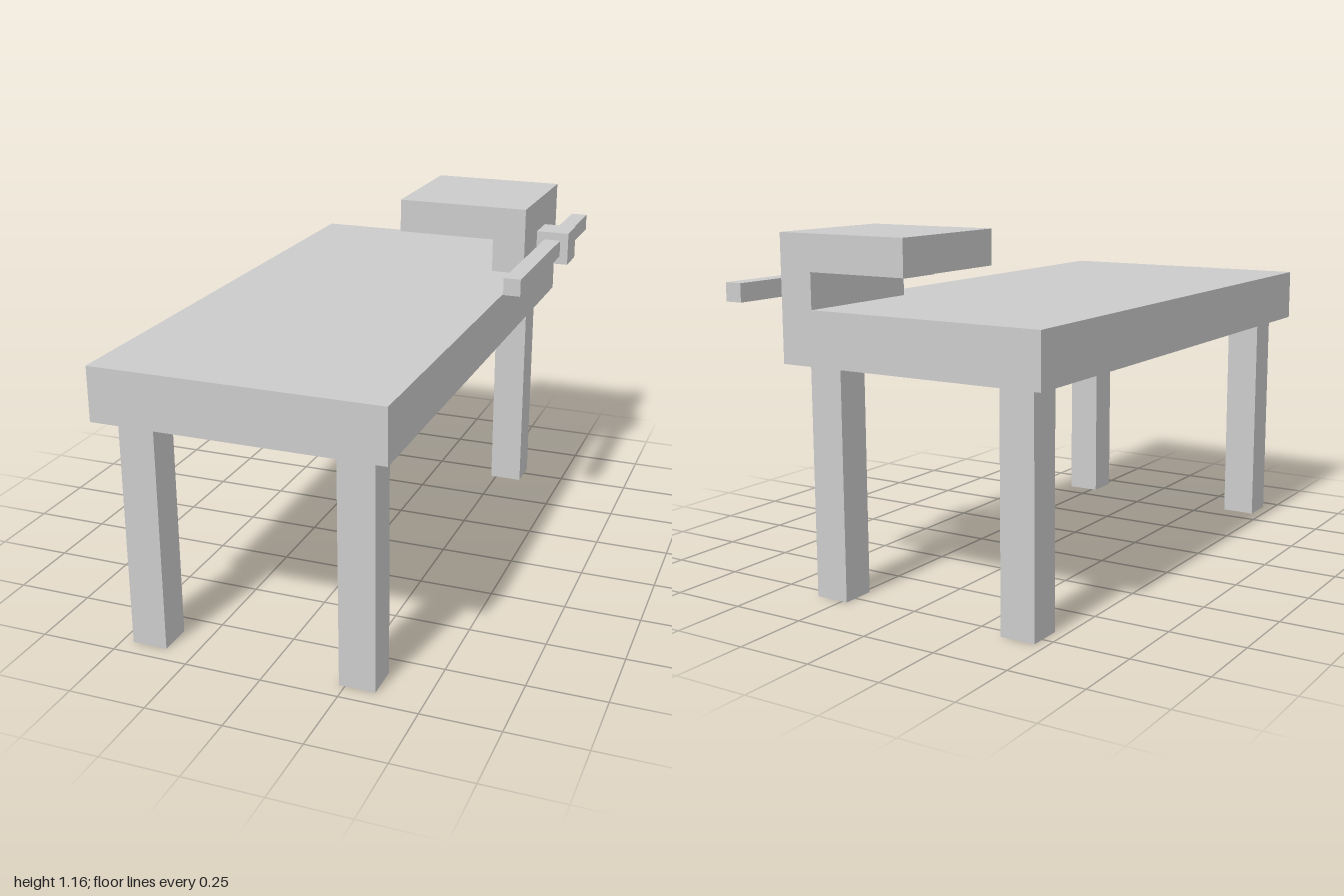
import * as THREE from 'three';

const material = new THREE.MeshStandardMaterial({ color: 0xcccccc, flatShading: true });

// Box given by its minimum and maximum along each axis
function box(name, [x0, x1], [y0, y1], [z0, z1]) {
  const mesh = new THREE.Mesh(new THREE.BoxGeometry(x1 - x0, y1 - y0, z1 - z0), material);
  mesh.name = name;
  mesh.position.set((x0 + x1) / 2, (y0 + y1) / 2, (z0 + z1) / 2);
  return mesh;
}

export function createModel() {
  const model = new THREE.Group();
  model.name = 'workbenchWithVise';

  // Bench: thick slab on four square legs
  const bench = new THREE.Group();
  bench.name = 'bench';
  bench.add(box('benchTop', [-0.521, 0.405], [0.756, 0.93], [-0.853, 1]));
  const legWidth = 0.116;
  for (const [side, x] of [['Right', -0.463], ['Left', 0.231]]) {
    for (const [end, z] of [['front', 0.826], ['back', -0.795]]) {
      bench.add(box(`${end}${side}Leg`, [x, x + legWidth], [0, 0.756], [z, z + legWidth]));
    }
  }
  model.add(bench);

  // Vise: L-shaped jaw rising from the bench edge
  const vise = new THREE.Group();
  vise.name = 'vise';
  const profile = new THREE.Shape([
    [0.289, 0.93], [0.405, 0.93], [0.405, 1.161],
    [-0.058, 1.161], [-0.058, 1.045], [0.289, 1.045],
  ].map(([x, y]) => new THREE.Vector2(x, y)));
  const jaw = new THREE.Mesh(
    new THREE.ExtrudeGeometry(profile, { depth: 0.463, bevelEnabled: false }), material);
  jaw.name = 'viseJaw';
  jaw.position.z = -0.853;
  vise.add(jaw);

  // Screw block with the long handle bar through it
  vise.add(box('screwBlock', [0.405, 0.521], [0.93, 1.045], [-0.68, -0.564]));
  vise.add(box('handleBar', [0.434, 0.492], [0.959, 1.017], [-1, -0.016]));
  model.add(vise);

  return model;
}
